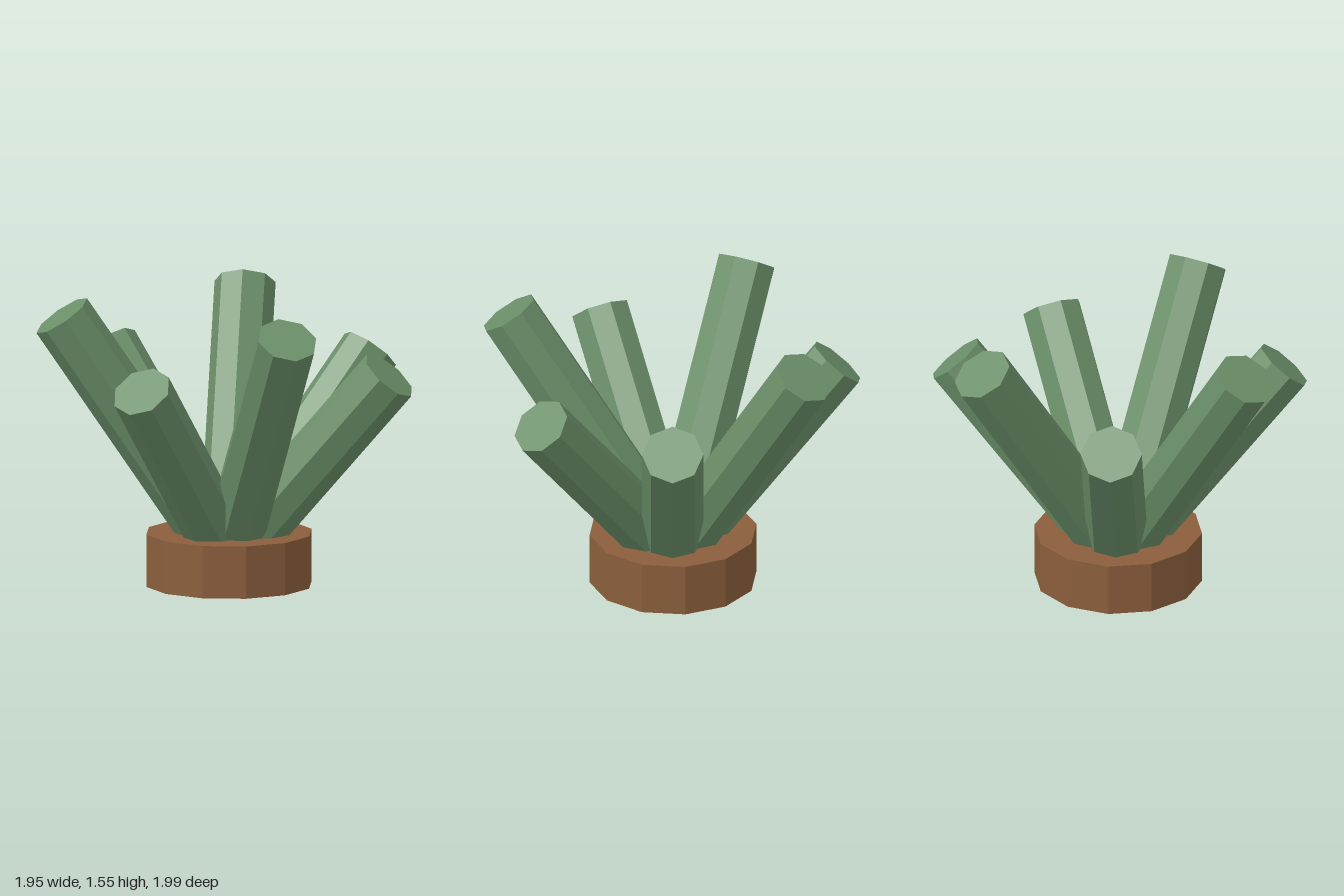
import * as THREE from 'three';

export function createModel() {
  const model = new THREE.Group();
  model.name = 'pottedPlant';
  const brown = new THREE.MeshStandardMaterial({ color: 0x8b5e3c, flatShading: true });
  const green = new THREE.MeshStandardMaterial({ color: 0x6b8f69, flatShading: true });
  const centreX = -0.037;

  // Twelve-sided pot
  const potHeight = 0.28;
  const pot = new THREE.Mesh(new THREE.CylinderGeometry(0.445, 0.445, potHeight, 12), brown);
  pot.name = 'pot';
  pot.position.set(centreX, potHeight / 2, 0);
  model.add(pot);

  // Seven octagonal stems fanning out from the middle of the pot, short and tall in turn
  const reach = 0.89, stemRadius = 0.162, count = 7;
  for (let i = 0; i < count; i++) {
    const rise = i % 2 ? 1.32 : 1.03;
    const length = Math.hypot(reach, rise);
    const geometry = new THREE.CylinderGeometry(stemRadius, stemRadius, length, 8);
    geometry.translate(0, length / 2, 0);
    geometry.rotateZ(-Math.atan2(reach, rise));
    geometry.rotateY(-(i / count) * Math.PI * 2);
    const stem = new THREE.Mesh(geometry, green);
    stem.name = `stem${i + 1}`;
    stem.position.set(centreX, potHeight / 2, 0);
    model.add(stem);
  }
  return model;
}
